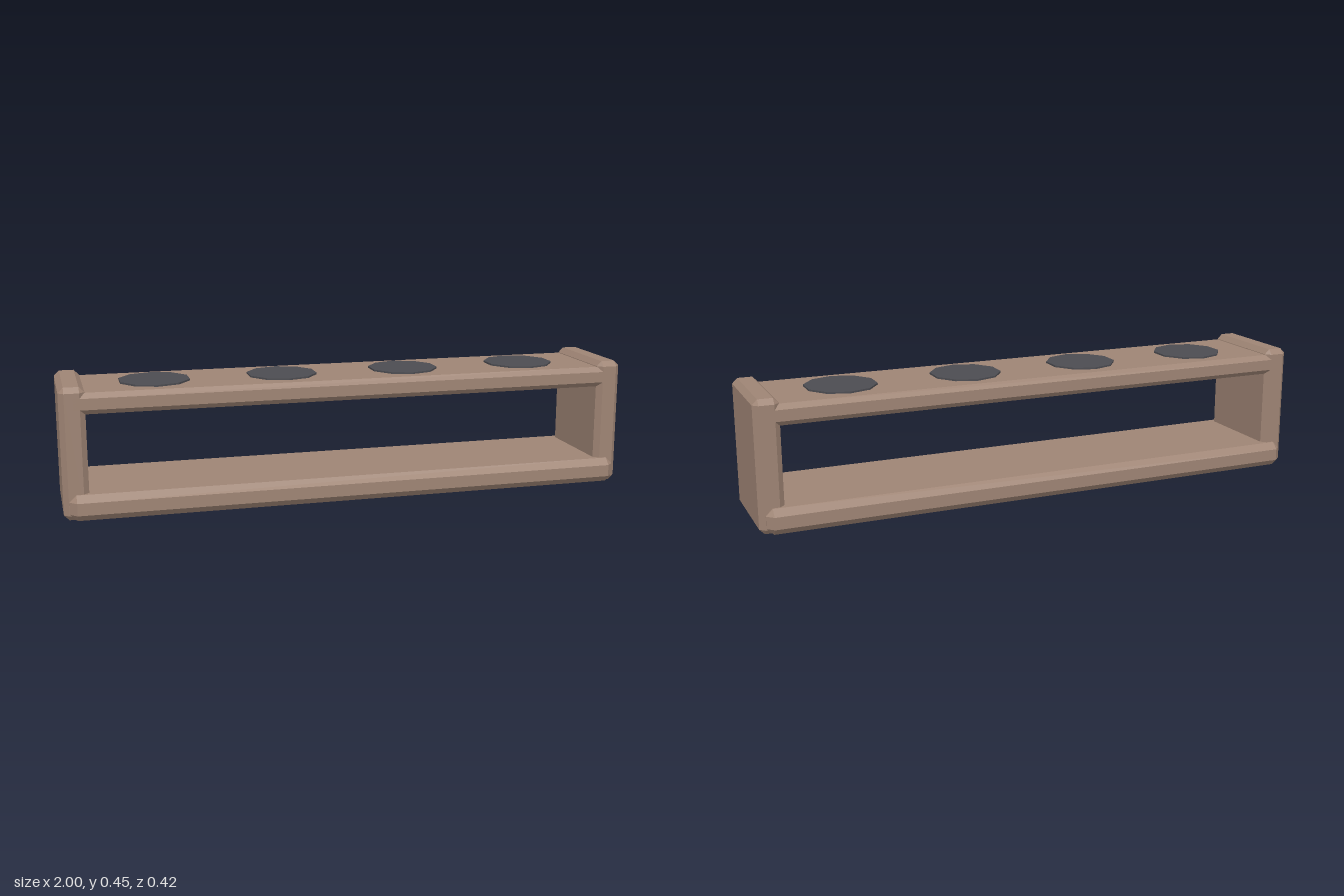
import * as THREE from 'three';
import { ConvexGeometry } from 'three/addons/geometries/ConvexGeometry.js';

// Box with flat chamfers on every edge and corner
function chamferBox(w, h, d, c) {
  const points = [];
  for (const sx of [-1, 1]) for (const sy of [-1, 1]) for (const sz of [-1, 1]) {
    const x = w / 2, y = h / 2, z = d / 2;
    points.push(
      new THREE.Vector3(sx * x, sy * (y - c), sz * (z - c)),
      new THREE.Vector3(sx * (x - c), sy * y, sz * (z - c)),
      new THREE.Vector3(sx * (x - c), sy * (y - c), sz * z)
    );
  }
  return new ConvexGeometry(points);
}

export function createModel() {
  const model = new THREE.Group();
  model.name = 'rack';

  const wood = new THREE.MeshStandardMaterial({ color: 0x9e8474, flatShading: true });
  wood.name = 'wood';
  const dark = new THREE.MeshStandardMaterial({ color: 0x4c4c51, flatShading: true });
  dark.name = 'dark hole';

  const add = (name, geometry, material, x, y) => {
    const mesh = new THREE.Mesh(geometry, material);
    mesh.name = name;
    mesh.position.set(x, y, 0);
    model.add(mesh);
  };

  // Wide base and the shelf above it
  add('base', chamferBox(1.96, 0.088, 0.416, 0.023), wood, 0, 0.046);
  add('shelf', chamferBox(1.94, 0.072, 0.36, 0.017), wood, 0, 0.392);

  // Upright end panels
  const panel = chamferBox(0.086, 0.448, 0.36, 0.018);
  add('leftPanel', panel, wood, 0.957, 0.224);
  add('rightPanel', panel, wood, -0.957, 0.224);

  // Ten-sided discs passing through the shelf
  const hole = new THREE.CylinderGeometry(0.124, 0.124, 0.084, 10);
  for (let i = 0; i < 4; i++) add('hole' + (i + 1), hole, dark, (i - 1.5) * 0.447, 0.392);

  return model;
}
